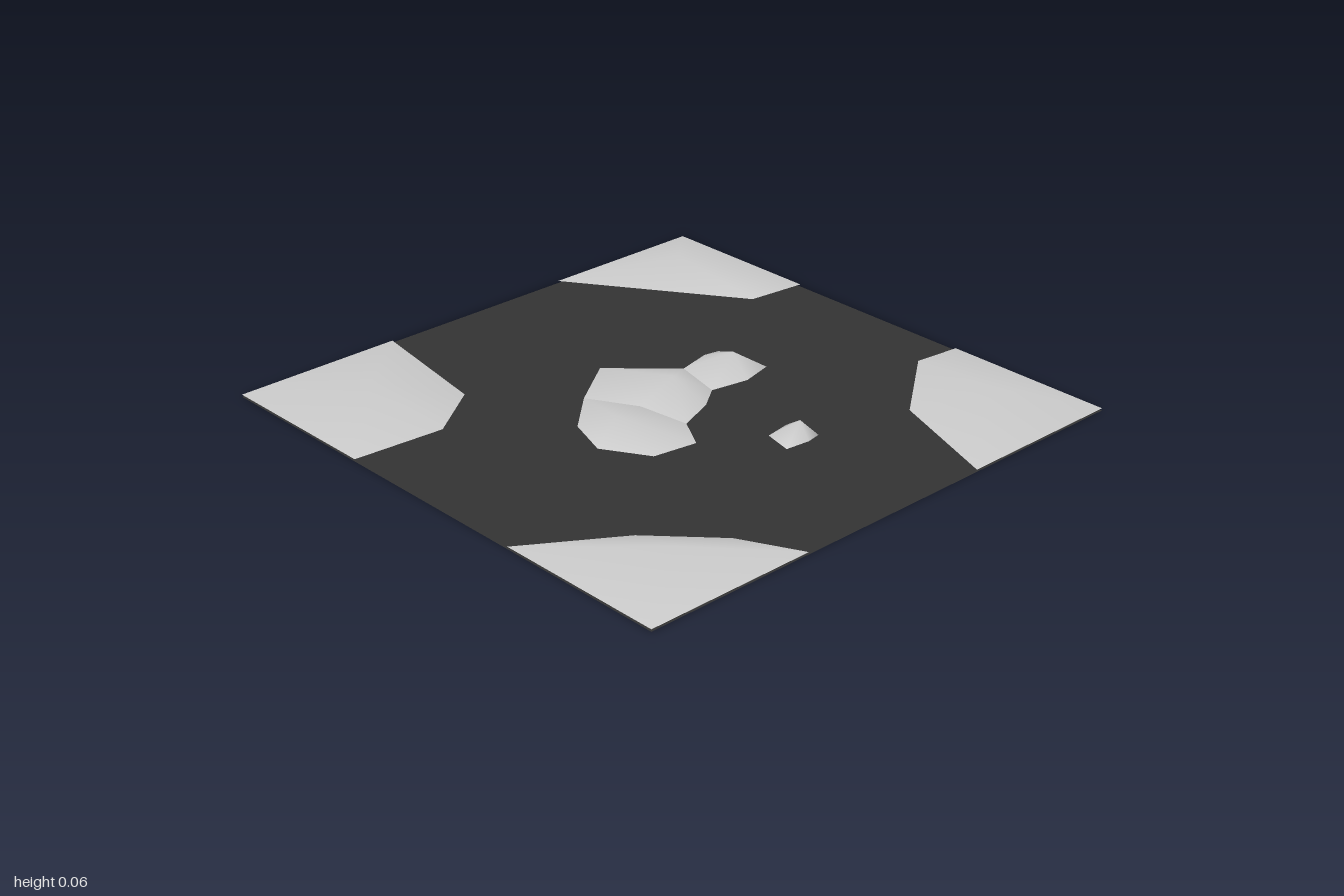
import * as THREE from 'three';

const BASE = 0.008, PEAK = 0.062;

// Low mound: a fan from an outline [x, z, optional y] up to a single peak.
function mound(name, [px, pz], outline, material) {
  const pos = [px, PEAK, pz], index = [];
  outline.forEach(([x, z, y = BASE], i) => {
    pos.push(x, y, z);
    index.push(0, i + 1, ((i + 1) % outline.length) + 1);
  });
  const geo = new THREE.BufferGeometry();
  geo.setAttribute('position', new THREE.Float32BufferAttribute(pos, 3));
  geo.setIndex(index);
  geo.computeVertexNormals();
  const mesh = new THREE.Mesh(geo, material);
  mesh.name = name;
  return mesh;
}

export function createModel() {
  const group = new THREE.Group();
  group.name = 'moundTile';
  const darkGround = new THREE.MeshStandardMaterial({ color: 0x333333, side: THREE.DoubleSide });
  darkGround.name = 'dark ground';
  const paleGrey = new THREE.MeshStandardMaterial({ color: 0xcccccc, side: THREE.DoubleSide });
  paleGrey.name = 'pale grey';

  // Flat square ground
  const ground = new THREE.Mesh(new THREE.PlaneGeometry(2, 2).rotateX(-Math.PI / 2), darkGround);
  ground.name = 'ground';
  group.add(ground);

  // Outlines run counter-clockwise seen from above
  const mounds = [
    // Corners
    ['backRightCornerMound', [-0.7, -0.69],
      [[-1, -1], [-1, -0.375], [-0.67, -0.35], [-0.46, -0.5], [-0.38, -1]]],
    ['backLeftCornerMound', [0.77, -0.78],
      [[0.375, -1], [0.78, -0.4], [1, -0.375], [1, -1]]],
    ['frontRightCornerMound', [-0.7, 0.78],
      [[-1, 0.375], [-1, 1], [-0.375, 1], [-0.48, 0.79], [-0.68, 0.58]]],
    ['frontLeftCornerMound', [0.77, 0.72],
      [[0.375, 1], [1, 1], [1, 0.37], [0.83, 0.35], [0.53, 0.58]]],
    // Centre: two mounds sharing a saddle, with a smaller one beside them
    ['centreRightMound', [-0.27, 0.04],
      [[-0.19, -0.21], [-0.34, -0.07], [-0.395, 0.09], [-0.3, 0.25], [-0.14, 0.275],
        [-0.07, 0.155], [-0.11, -0.02, 0.02]]],
    ['centreMound', [0.065, -0.05],
      [[0, -0.345], [-0.19, -0.21], [-0.11, -0.02, 0.02], [-0.07, 0.155], [0.07, 0.1],
        [0.16, 0.035], [0.205, -0.15]]],
    ['centreLeftMound', [0.34, -0.05],
      [[0.205, -0.15], [0.16, 0.035], [0.3, 0.06], [0.42, 0.03], [0.385, -0.17], [0.33, -0.18]]],
    // Small lone mound
    ['smallMound', [0.14, 0.46],
      [[0.065, 0.395], [0.04, 0.5], [0.13, 0.51], [0.185, 0.5], [0.16, 0.38]]],
  ];
  for (const [name, peak, outline] of mounds) group.add(mound(name, peak, outline, paleGrey));

  return group;
}
